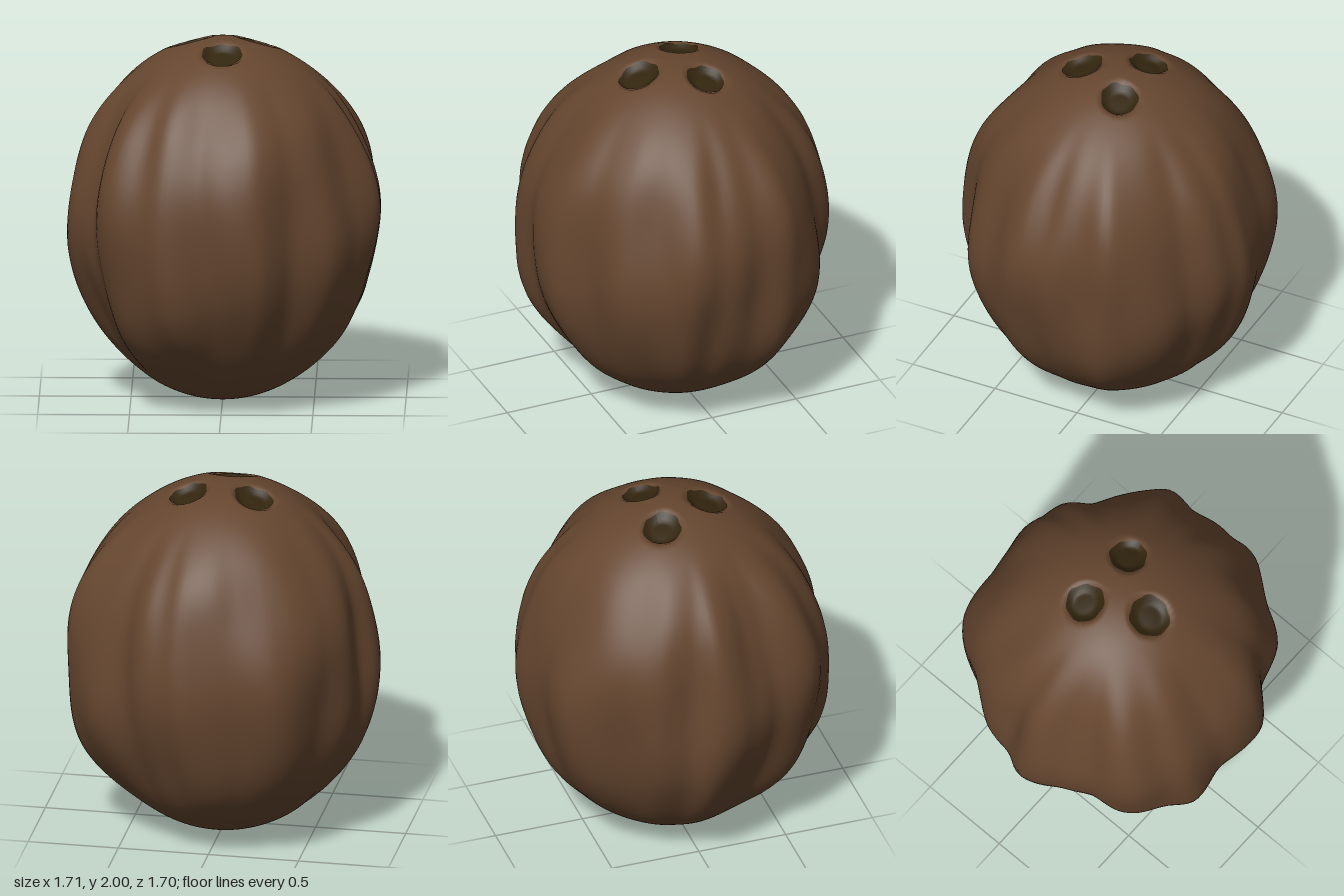
import * as THREE from 'three';
import { mergeVertices } from 'three/addons/utils/BufferGeometryUtils.js';

const RADIUS = 0.83;

// Lumpy outline around the widest part, as [x, z]
const outline = [
  [0.12, -0.85], [0, -0.84], [-0.2, -0.79], [-0.42, -0.75], [-0.52, -0.68], [-0.65, -0.48],
  [-0.77, -0.32], [-0.78, -0.12], [-0.86, 0], [-0.83, 0.12], [-0.75, 0.23], [-0.68, 0.38],
  [-0.68, 0.55], [-0.62, 0.65], [-0.45, 0.73], [-0.33, 0.83], [-0.1, 0.81], [0.23, 0.845],
  [0.4, 0.7], [0.61, 0.61], [0.72, 0.43], [0.85, 0.24], [0.83, 0.1], [0.86, 0],
  [0.83, -0.15], [0.85, -0.33], [0.77, -0.43], [0.61, -0.58], [0.44, -0.65], [0.33, -0.77], [0.2, -0.8],
].map(([x, z]) => ({ a: Math.atan2(z, x), r: Math.hypot(x, z) })).sort((p, q) => p.a - q.a);

// Germination pores near the top: x, z, radius
const pores = [[-0.175, -0.1, 0.105], [0.185, -0.1, 0.102], [0, 0.215, 0.11]];

function outlineRadius(angle) {
  const a = Math.atan2(Math.sin(angle), Math.cos(angle));
  const n = outline.length;
  let i = outline.findIndex((p) => p.a > a);
  if (i < 0) i = n;
  const p = outline[(i + n - 1) % n];
  const q = outline[i % n];
  const pa = i === 0 ? p.a - 2 * Math.PI : p.a;
  const qa = i === n ? q.a + 2 * Math.PI : q.a;
  return THREE.MathUtils.lerp(p.r, q.r, (a - pa) / (qa - pa));
}

// Slightly smoothed outline
const lumpyRadius = (a) => (outlineRadius(a - 0.05) + 2 * outlineRadius(a) + outlineRadius(a + 0.05)) / 4;

// How far the shell sinks at a point near the top
function dimple(x, z) {
  return pores.reduce((sum, [px, pz, r]) => {
    const d = Math.hypot(x - px, z - pz) / r;
    return sum + 0.05 * (1 - THREE.MathUtils.smoothstep(d, 0.55, 1.25));
  }, 0);
}

const topHeight = (x, z) =>
  1 + Math.sqrt(1 - (x * x + z * z) / (RADIUS * RADIUS)) - dimple(x, z);

function shellGeometry() {
  const geo = new THREE.SphereGeometry(1, 160, 120);
  geo.deleteAttribute('uv');
  geo.deleteAttribute('normal');
  const pos = geo.attributes.position;
  for (let i = 0; i < pos.count; i++) {
    const y = pos.getY(i);
    const ring = Math.sqrt(Math.max(0, 1 - y * y));
    const a = Math.atan2(pos.getZ(i), pos.getX(i));
    // Fibrous ridges fade out towards both ends
    const weight = THREE.MathUtils.smoothstep(ring, 0.4, 0.9);
    const twisted = a + 0.09 * y * Math.sin(2 * a + 1);
    const waves = 0.012 * Math.sin(5 * a + 4 * y) + 0.009 * Math.sin(9 * a - 5 * y + 1)
      + 0.008 * Math.sin(3 * a + 8 * y);
    const r = ring * THREE.MathUtils.lerp(RADIUS, lumpyRadius(twisted) * 0.995 + waves, weight);
    const x = r * Math.cos(a);
    const z = r * Math.sin(a);
    pos.setXYZ(i, x, 1 + y - (y > 0.8 ? dimple(x, z) : 0), z);
  }
  const merged = mergeVertices(geo, 1e-5);
  merged.computeVertexNormals();
  return merged;
}

// Thin dark patch lying in a dimple, with a slightly uneven edge
function poreGeometry([px, pz, r], seed) {
  const geo = new THREE.RingGeometry(0.001, 1, 40, 8);
  const pos = geo.attributes.position;
  for (let i = 0; i < pos.count; i++) {
    const u = pos.getX(i);
    const v = -pos.getY(i);
    const a = Math.atan2(v, u);
    const wobble = r * (1 + 0.03 * Math.sin(3 * a + seed) + 0.03 * Math.sin(7 * a + 2 * seed));
    const x = px + u * wobble;
    const z = pz + v * wobble;
    pos.setXYZ(i, x, topHeight(x, z) + 0.005, z);
  }
  geo.computeVertexNormals();
  return geo;
}

export function createModel() {
  const husk = new THREE.MeshStandardMaterial({ color: 0x65462f });
  husk.name = 'husk brown';
  const dark = new THREE.MeshStandardMaterial({ color: 0x33260f });
  dark.name = 'pore dark brown';

  const group = new THREE.Group();
  group.name = 'coconut';

  const shell = new THREE.Mesh(shellGeometry(), husk);
  shell.name = 'shell';
  group.add(shell);

  pores.forEach((p, i) => {
    const pore = new THREE.Mesh(poreGeometry(p, i * 1.7), dark);
    pore.name = ['rightPore', 'leftPore', 'frontPore'][i];
    group.add(pore);
  });
  return group;
}
